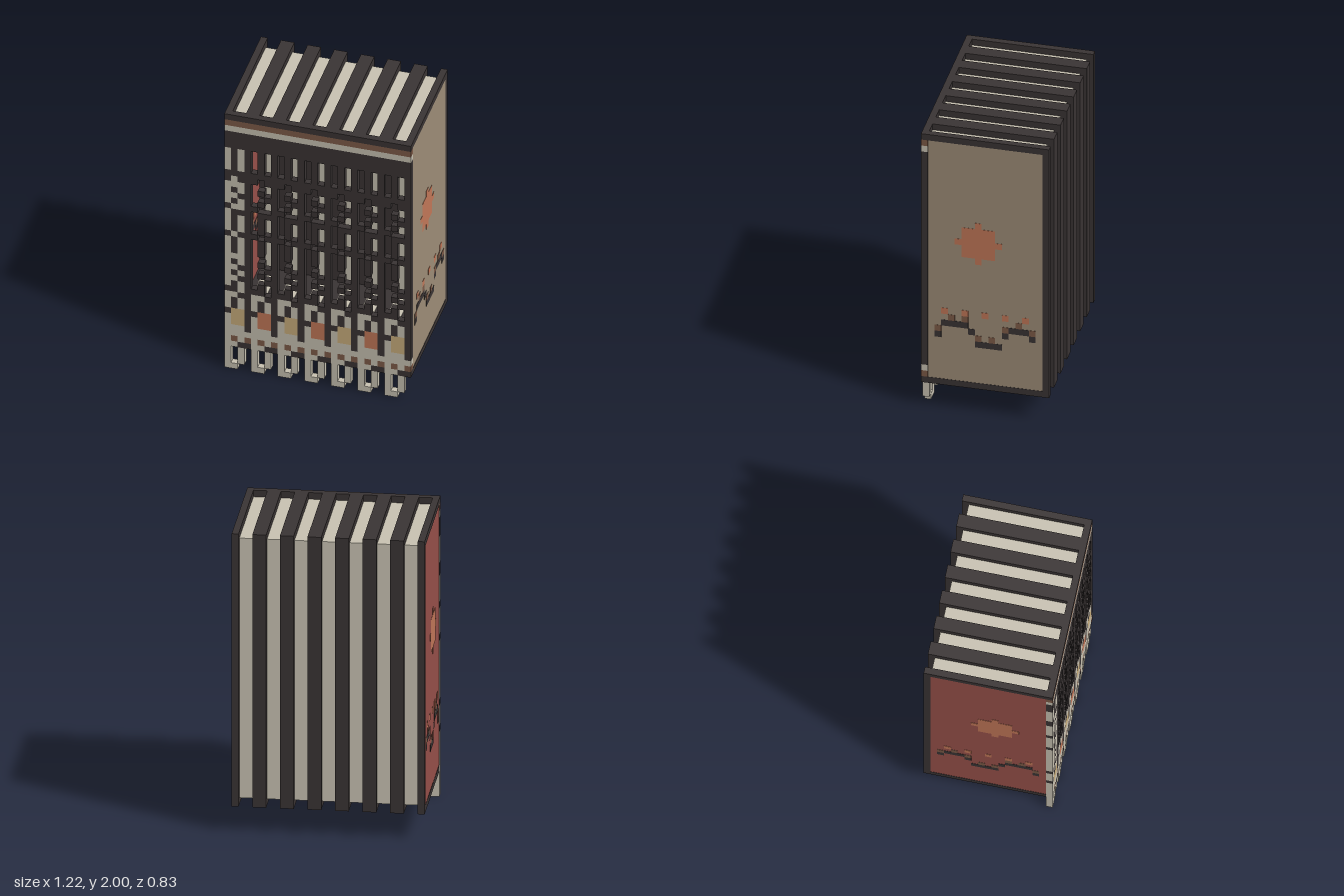
import * as THREE from 'three';
import { mergeGeometries } from 'three/addons/utils/BufferGeometryUtils.js';

const U = 2 / 46; // one block
const BOOKS = 7;

const mat = (name, color) => Object.assign(
  new THREE.MeshStandardMaterial({ color, side: THREE.DoubleSide }), { name });

// Spine rows from the top down, four blocks across each book.
// d dark, l light, n brown, s square label, o lettering (light on book one, open on the rest)
const SPINE = [
  'dddd', 'nnnn', 'llll', 'dddd', 'dddd', 'dddd',
  'odod', 'odod', 'odod', 'odod', 'dddd', 'dodd',
  'oood', 'odod', 'oodd', 'odod', 'dood', 'oddd',
  'odod', 'odod', 'odod', 'dodd', 'odod', 'odod', 'odod',
  'oood', 'odod', 'oodd', 'odod', 'oodd', 'odod', 'ddod',
  'lldd', 'ldld', 'ldld', 'dssd', 'lssd', 'lssd',
  'llld', 'llll', 'lnln', 'lldd',
];

export function createModel() {
  const mats = {
    dark: mat('dark cover', 0x3a3434),
    light: mat('paper', 0xc8c2b2),
    brown: mat('brown trim', 0x7d5a47),
    beige: mat('beige panel', 0x9d8d77),
    red: mat('red panel', 0x97504a),
    orange: mat('orange', 0xc27758),
    yellow: mat('yellow label', 0xc9ae7c),
  };
  const model = new THREE.Group();

  // Box from min and max corners, in blocks
  const box = (x0, x1, y0, y1, z0, z1) =>
    new THREE.BoxGeometry((x1 - x0) * U, (y1 - y0) * U, (z1 - z0) * U)
      .translate((x0 + x1) / 2 * U, (y0 + y1) / 2 * U, (z0 + z1) / 2 * U);
  const add = (parent, name, material, geos) => {
    const mesh = new THREE.Mesh(mergeGeometries(geos), mats[material]);
    mesh.name = name;
    parent.add(mesh);
  };

  for (let b = 0; b < BOOKS; b++) {
    const book = new THREE.Group();
    book.name = 'book' + (b + 1);
    model.add(book);
    const x = -14 + b * 4;

    // Spine, built from vertical runs of equal colour
    const kinds = { d: 'dark', l: 'light', n: 'brown', s: b % 2 ? 'orange' : 'yellow', o: b ? null : 'light' };
    const runs = {};
    for (let c = 0; c < 4; c++) {
      for (let r = 0, end; r < SPINE.length; r = end) {
        const kind = kinds[SPINE[r][c]];
        end = r + 1;
        while (end < SPINE.length && kinds[SPINE[end][c]] === kind) end++;
        if (kind) (runs[kind] ??= []).push(box(x + c, x + c + 1, 46 - end, 46 - r, 8.5, 9.5));
      }
    }
    for (const kind in runs) add(book, kind + 'Spine', kind, runs[kind]);

    // Cover edges along the top, bottom and back
    const edges = [];
    for (const c of [x, x + 3]) {
      edges.push(
        box(c, c + 1, 45, 46, -9.5, 8.5),
        box(c, c + 1, 4, 5, -9.5, 8.5),
        box(c, c + 1, 5, 45, -9.5, -8.5));
    }
    add(book, 'coverEdges', 'dark', edges);

    // Page faces set back between the covers
    add(book, 'pages', 'light', [
      box(x + 1, x + 3, 44.9, 45, -8.5, 8.5),
      box(x + 1, x + 3, 5, 5.1, -8.5, 8.5),
      box(x + 1, x + 3, 5, 45, -8.5, -8.4)]);

    // Hanging bookmark loop
    add(book, 'bookmark', 'light', [
      box(x, x + 1, 0, 4, 8.5, 9.5),
      box(x + 1, x + 2, 0, 1, 8.5, 9.5),
      box(x + 2, x + 3, 1, 4, 8.5, 9.5)]);
  }

  // Side art as [row, first column, last column], columns counted from the front
  const sun = [[14, 8, 8], [15, 6, 10], [16, 6, 10], [17, 5, 11], [18, 6, 10], [19, 6, 10], [20, 8, 8]];
  const dots = [3, 6, 9, 12, 15].map((c) => [29, c, c]);
  const shade = [[30, 4, 4], [30, 6, 6], [30, 14, 14], [31, 12, 12], [31, 16, 16],
    [32, 2, 2], [33, 8, 8], [33, 10, 10]];
  const wave = [[31, 3, 6], [31, 13, 15], [32, 7, 7], [32, 12, 12], [32, 16, 16], [33, 2, 2], [34, 8, 11]];

  for (const side of [1, -1]) {
    const cover = new THREE.Group();
    cover.name = side > 0 ? 'leftCover' : 'rightCover';
    model.add(cover);
    const plate = (t, y0, y1, z0, z1) => {
      const a = side * (13.95 - t), b = side * (13.95 + t);
      return box(Math.min(a, b), Math.max(a, b), y0, y1, z0, z1);
    };
    const art = (list) => list.map(([r, c0, c1]) => plate(0.05, 45 - r, 46 - r, 8.5 - c1, 9.5 - c0));
    add(cover, 'panel', side > 0 ? 'beige' : 'red', [plate(0.01, 5, 45, -8.5, 8.5)]);
    add(cover, 'sun', 'orange', art(sun));
    add(cover, 'dots', 'orange', art(dots));
    add(cover, 'waveShade', 'brown', art(shade));
    add(cover, 'wave', 'dark', art(wave));
  }
  return model;
}
